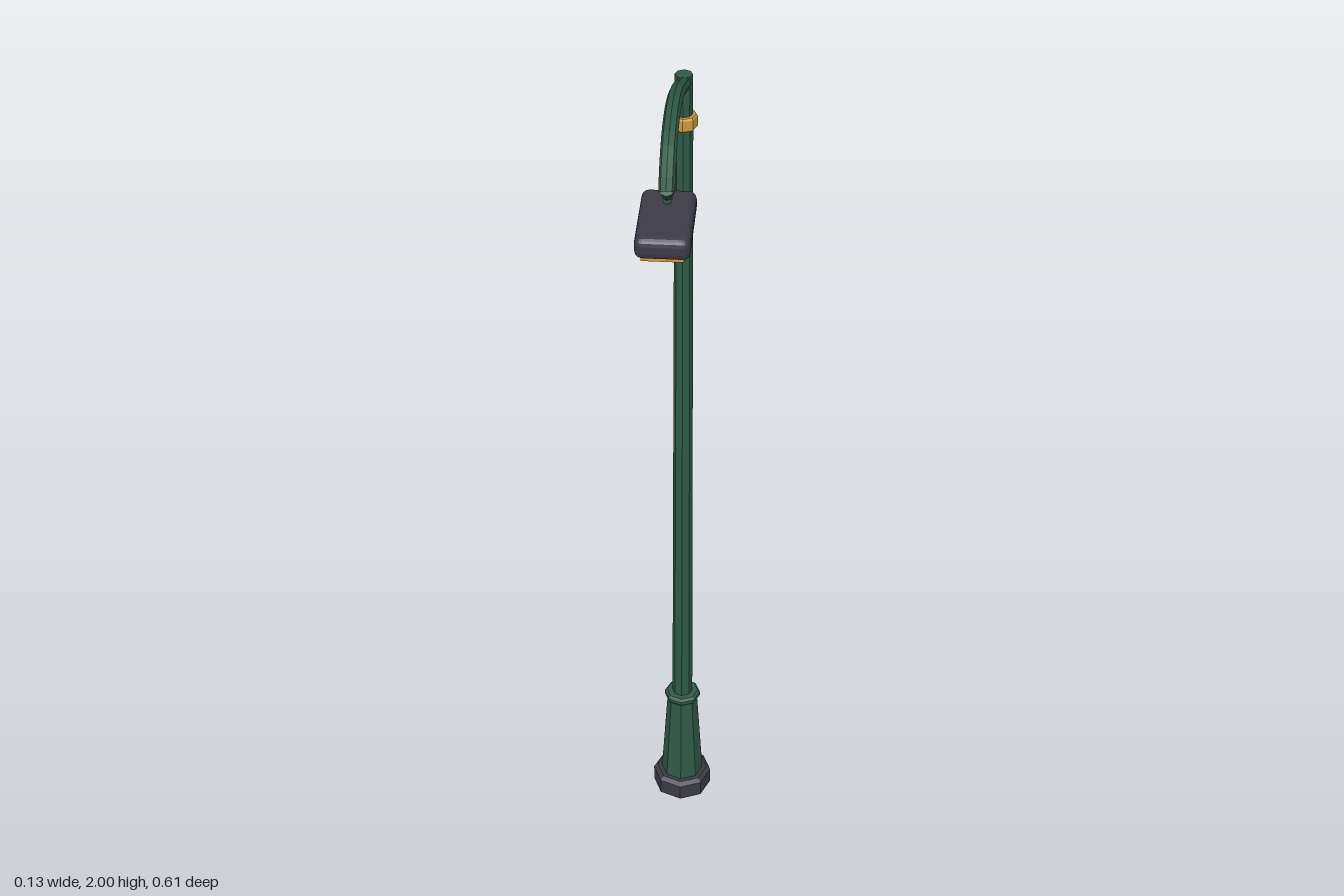
import * as THREE from 'three';
import { RoundedBoxGeometry } from 'three/addons/geometries/RoundedBoxGeometry.js';

const POLE_Z = -0.238;

function material(name, color) {
  const m = new THREE.MeshStandardMaterial({ color, flatShading: true });
  m.name = name;
  return m;
}

export function createModel() {
  const green = material('dark green paint', 0x2f5a47);
  const iron = material('charcoal iron', 0x3d3b46);
  const gold = material('warm gold', 0xd09a3a);

  const group = new THREE.Group();
  group.name = 'streetLamp';

  function add(name, geometry, mat, x = 0, y = 0, z = 0) {
    const mesh = new THREE.Mesh(geometry, mat);
    mesh.name = name;
    mesh.position.set(x, y, z);
    group.add(mesh);
    return mesh;
  }

  // Eight-sided turned part on the pole axis, from [radius, height] pairs
  function turned(name, profile, mat) {
    const pts = profile.map(([r, y]) => new THREE.Vector2(r, y));
    return add(name, new THREE.LatheGeometry(pts, 8), mat, 0, 0, POLE_Z);
  }

  // Pole, bottom to top
  turned('base', [[0, 0], [0.058, 0], [0.067, 0.009], [0.067, 0.046], [0.058, 0.055], [0, 0.055]], iron);
  turned('plinth', [[0, 0.054], [0.048, 0.054], [0.034, 0.282], [0, 0.282]], green);
  turned('plinthRing', [[0.03, 0.277], [0.037, 0.277], [0.041, 0.282], [0.041, 0.29], [0.036, 0.296], [0, 0.296]], green);
  turned('pole', [[0.023, 0.29], [0.019, 1.8]], green);
  turned('collar', [[0.018, 1.788], [0.025, 1.788], [0.028, 1.792], [0.028, 1.814], [0.025, 1.818], [0, 1.818]], gold);
  turned('poleTop', [[0.018, 1.81], [0.018, 1.906], [0, 1.906]], green);

  // Arm swept forward from the pole top
  const armPath = new THREE.CatmullRomCurve3(
    [[1.884, POLE_Z], [1.938, -0.12], [1.972, -0.03], [1.983, 0.05], [1.97, 0.115], [1.937, 0.16], [1.893, 0.189]]
      .map(([y, z]) => new THREE.Vector3(0, y, z)));
  add('arm', new THREE.TubeGeometry(armPath, 18, 0.0155, 8), green);

  // Eight-sided bar between two points on the centre plane
  function bar(name, [y0, z0], [y1, z1], r0, r1) {
    const a = new THREE.Vector3(0, y0, z0);
    const b = new THREE.Vector3(0, y1, z1);
    const dir = b.clone().sub(a);
    const mesh = add(name, new THREE.CylinderGeometry(r1, r0, dir.length(), 8), green);
    mesh.position.copy(a).add(b).multiplyScalar(0.5);
    mesh.quaternion.setFromUnitVectors(new THREE.Vector3(0, 1, 0), dir.normalize());
  }

  // Narrow neck folding back into the bracket on the lamp head
  bar('armNeck', [1.897, 0.186], [1.868, 0.168], 0.0155, 0.007);
  bar('headBracket', [1.867, 0.176], [1.867, 0.121], 0.009, 0.013);

  // Lamp head with glowing panel underneath
  add('lampHead', new RoundedBoxGeometry(0.104, 0.045, 0.19, 2, 0.015), iron, 0, 1.836, 0.21);
  add('lightPanel', new THREE.BoxGeometry(0.08, 0.0095, 0.158), gold, 0, 1.809, 0.21);

  return group;
}
